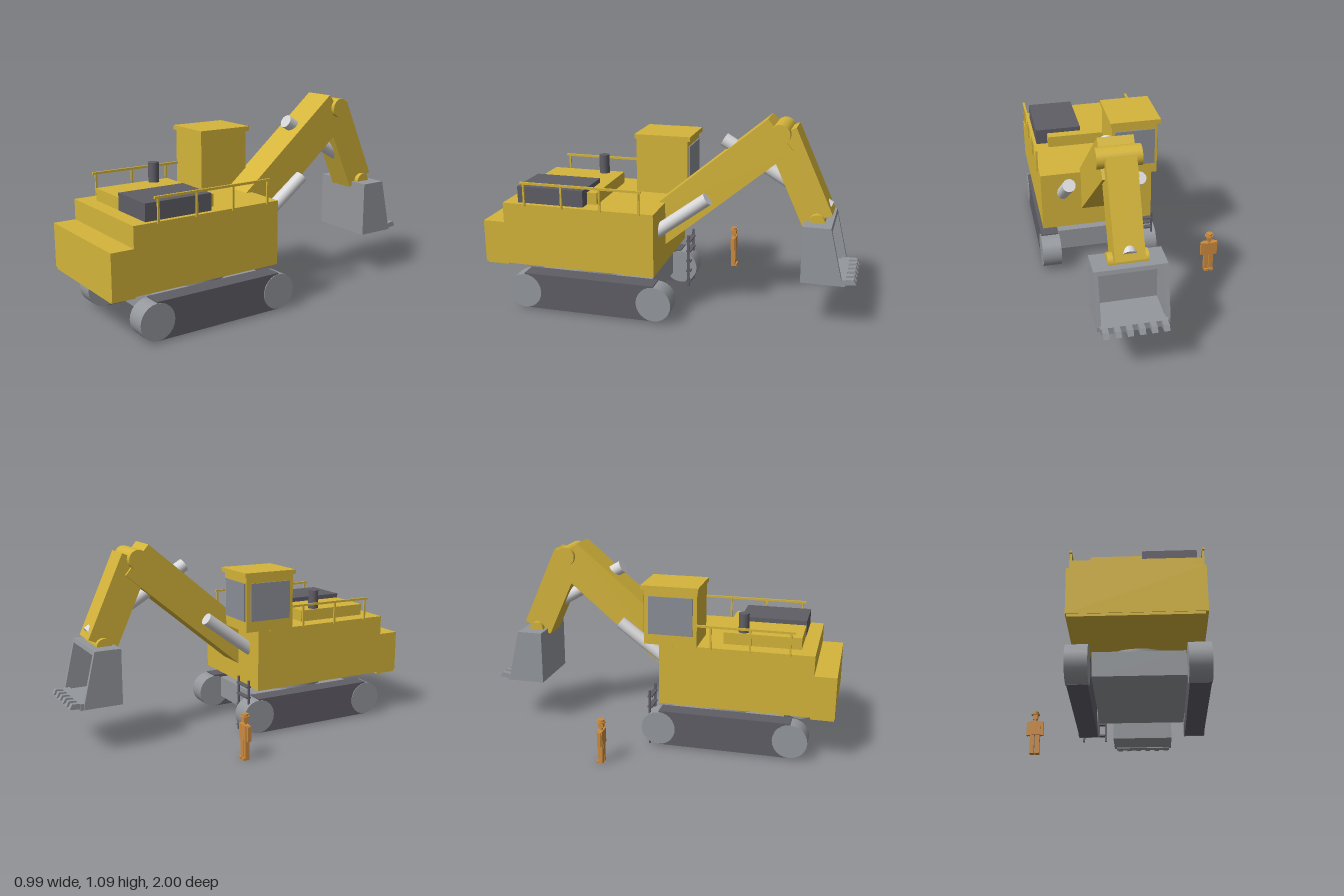
import * as THREE from 'three';

export function createModel() {
  const root = new THREE.Group();
  root.name = 'excavator';

  const material = (name, color) => {
    const m = new THREE.MeshStandardMaterial({ color });
    m.name = name;
    return m;
  };
  const yellow = material('yellow paint', 0xd4b43a);
  const dark = material('dark grey', 0x605e66);
  const metal = material('steel grey', 0x94979c);
  const chrome = material('bright metal', 0xd6d6d8);
  const glass = material('grey glass', 0x8b8e96);
  const orange = material('orange', 0xcd8b3e);

  const group = (name, parent = root) => {
    const g = new THREE.Group();
    g.name = name;
    parent.add(g);
    return g;
  };
  const add = (name, geometry, mat, parent) => {
    const mesh = new THREE.Mesh(geometry, mat);
    mesh.name = name;
    parent.add(mesh);
    return mesh;
  };
  // Box given by its limits on each axis
  const box = (name, mat, [x0, x1], [y0, y1], [z0, z1], parent) => {
    const mesh = add(name, new THREE.BoxGeometry(x1 - x0, y1 - y0, z1 - z0), mat, parent);
    mesh.position.set((x0 + x1) / 2, (y0 + y1) / 2, (z0 + z1) / 2);
  };
  // Put a geometry that runs along y between two points
  const span = (name, makeGeometry, mat, a, b, parent) => {
    const from = new THREE.Vector3(...a);
    const dir = new THREE.Vector3(...b).sub(from);
    const mesh = add(name, makeGeometry(dir.length()), mat, parent);
    mesh.position.copy(from).addScaledVector(dir, 0.5);
    mesh.quaternion.setFromUnitVectors(new THREE.Vector3(0, 1, 0), dir.normalize());
  };
  const rod = (name, mat, r, a, b, parent, sides = 24) =>
    span(name, (len) => new THREE.CylinderGeometry(r, r, len, sides), mat, a, b, parent);
  const beam = (name, mat, width, depth, a, b, parent) =>
    span(name, (len) => new THREE.BoxGeometry(width, len, depth), mat, a, b, parent);
  // Side profile of [z, y] points, extruded across x
  const profile = (name, mat, points, x0, x1, parent) => {
    const shape = new THREE.Shape(points.map(([z, y]) => new THREE.Vector2(-z, y)));
    const geo = new THREE.ExtrudeGeometry(shape, { depth: x1 - x0, bevelEnabled: false });
    const mesh = add(name, geo.rotateY(Math.PI / 2), mat, parent);
    mesh.position.x = x0;
  };

  // Undercarriage: two tracks, frame and turntable
  const under = group('undercarriage');
  for (const [x0, x1] of [[-0.175, -0.068], [0.387, 0.495]]) {
    const track = group('track', under);
    box('trackBelt', dark, [x0 + 0.004, x1 - 0.004], [0.01, 0.21], [0.035, 0.77], track);
    for (const z of [0.035, 0.77]) rod('trackWheel', metal, 0.096, [x0, 0.108, z], [x1, 0.108, z], track);
  }
  box('trackFrame', metal, [-0.06, 0.385], [0.07, 0.195], [0.08, 0.72], under);
  rod('turntable', metal, 0.217, [0.162, 0.19, 0.405], [0.162, 0.26, 0.405], under, 32);

  // Upper body
  const body = group('upperBody');
  box('house', yellow, [-0.16, 0.477], [0.255, 0.6], [0.035, 0.88], body);
  box('counterweight', yellow, [-0.16, 0.477], [0.255, 0.49], [0.88, 1], body);
  box('counterweightBase', yellow, [-0.153, 0.463], [0.242, 0.255], [0.87, 0.997], body);
  box('raisedDeck', yellow, [-0.065, 0.385], [0.6, 0.665], [0.375, 0.8], body);
  box('engineCover', dark, [0.185, 0.45], [0.6, 0.69], [0.43, 0.802], body);
  rod('exhaust', dark, 0.029, [-0.027, 0.66, 0.48], [-0.027, 0.772, 0.48], body, 14);

  // Cab with windows
  const cab = group('cab');
  box('cabShell', yellow, [-0.17, 0.083], [0.6, 0.905], [-0.045, 0.248], cab);
  box('cabRoof', yellow, [-0.185, 0.093], [0.905, 0.93], [-0.062, 0.256], cab);
  box('frontWindow', glass, [-0.155, 0.065], [0.66, 0.87], [-0.053, -0.045], cab);
  box('sideWindow', glass, [-0.178, -0.17], [0.66, 0.87], [-0.02, 0.225], cab);

  // Handrails on both sides
  for (const x of [-0.165, 0.484]) {
    const rail = group('handrail');
    for (const z of [0.75, 0.537, 0.323, 0.11])
      box('railPost', yellow, [x - 0.005, x + 0.005], [0.593, 0.72], [z - 0.005, z + 0.005], rail);
    box('topRail', yellow, [x - 0.006, x + 0.006], [0.714, 0.726], [0.095, 0.77], rail);
  }

  // Boarding ladder
  const ladder = group('ladder');
  for (const x of [-0.151, -0.032])
    box('ladderPole', dark, [x - 0.005, x + 0.005], [0.002, 0.32], [-0.025, -0.014], ladder);
  for (const y of [0.035, 0.097, 0.158, 0.22, 0.282])
    box('ladderRung', dark, [-0.151, -0.032], [y - 0.004, y + 0.004], [-0.034, -0.006], ladder);

  // Boom, stick and pins
  const cx = 0.16;
  const arm = group('diggingArm');
  beam('boom', yellow, 0.18, 0.206, [cx, 0.4, 0.15], [cx, 1.006, -0.575], arm);
  beam('stick', yellow, 0.15, 0.17, [cx, 1.01, -0.575], [cx, 0.563, -0.778], arm);
  rod('elbowPin', yellow, 0.053, [0.048, 1.01, -0.575], [0.273, 1.01, -0.575], arm);
  rod('bucketPin', yellow, 0.042, [0.058, 0.56, -0.778], [0.262, 0.56, -0.778], arm);

  // Hydraulic cylinders
  for (const x of [-0.033, 0.352])
    rod('boomCylinder', chrome, 0.035, [x, 0.433, 0.1], [x, 0.671, -0.222], arm);
  rod('stickCylinder', chrome, 0.037, [cx, 0.948, -0.265], [cx, 0.617, -0.834], arm);

  // Bucket, open at the slanted face
  const bucket = group('bucket');
  const side = [[-0.715, 0.56], [-0.86, 0.56], [-0.926, 0.28], [-0.926, 0.255], [-0.715, 0.255]];
  profile('bucketSide', metal, side, -0.025, -0.003, bucket);
  profile('bucketSide', metal, side, 0.319, 0.341, bucket);
  const inner = [-0.003, 0.319];
  profile('bucketTop', metal, [[-0.715, 0.56], [-0.86, 0.56], [-0.865, 0.538], [-0.715, 0.538]], ...inner, bucket);
  box('bucketBack', metal, inner, [0.277, 0.538], [-0.737, -0.715], bucket);
  box('bucketFloor', metal, inner, [0.255, 0.277], [-0.926, -0.715], bucket);
  box('bucketLip', metal, [-0.012, 0.328], [0.25, 0.286], [-0.945, -0.9], bucket);
  const tooth = [[-0.93, 0.285], [-0.985, 0.29], [-1, 0.262], [-0.93, 0.255]];
  for (let i = 0; i < 6; i++) {
    const x = 0.01 + i * 0.0595;
    profile('bucketTooth', metal, tooth, x - 0.015, x + 0.015, bucket);
  }

  // Person standing beside the machine
  const person = group('person');
  person.position.set(-0.449, 0, -0.207);
  for (const s of [-1, 1]) {
    const pair = (a, b) => (s < 0 ? [-b, -a] : [a, b]);
    box('leg', orange, pair(0.003, 0.027), [0, 0.112], [-0.012, 0.012], person);
    box('foot', orange, pair(0.003, 0.027), [0, 0.013], [-0.024, 0.012], person);
    box('sideArm', orange, pair(0.033, 0.048), [0.108, 0.188], [-0.01, 0.01], person);
  }
  box('torso', orange, [-0.033, 0.033], [0.108, 0.19], [-0.015, 0.015], person);
  rod('neck', orange, 0.009, [0, 0.188, 0], [0, 0.208, 0], person, 12);
  box('head', orange, [-0.013, 0.013], [0.204, 0.235], [-0.013, 0.013], person);
  rod('hatBrim', orange, 0.025, [0, 0.231, 0], [0, 0.236, 0], person, 16);
  rod('hatCrown', orange, 0.018, [0, 0.235, 0], [0, 0.248, 0], person, 16);

  return root;
}
